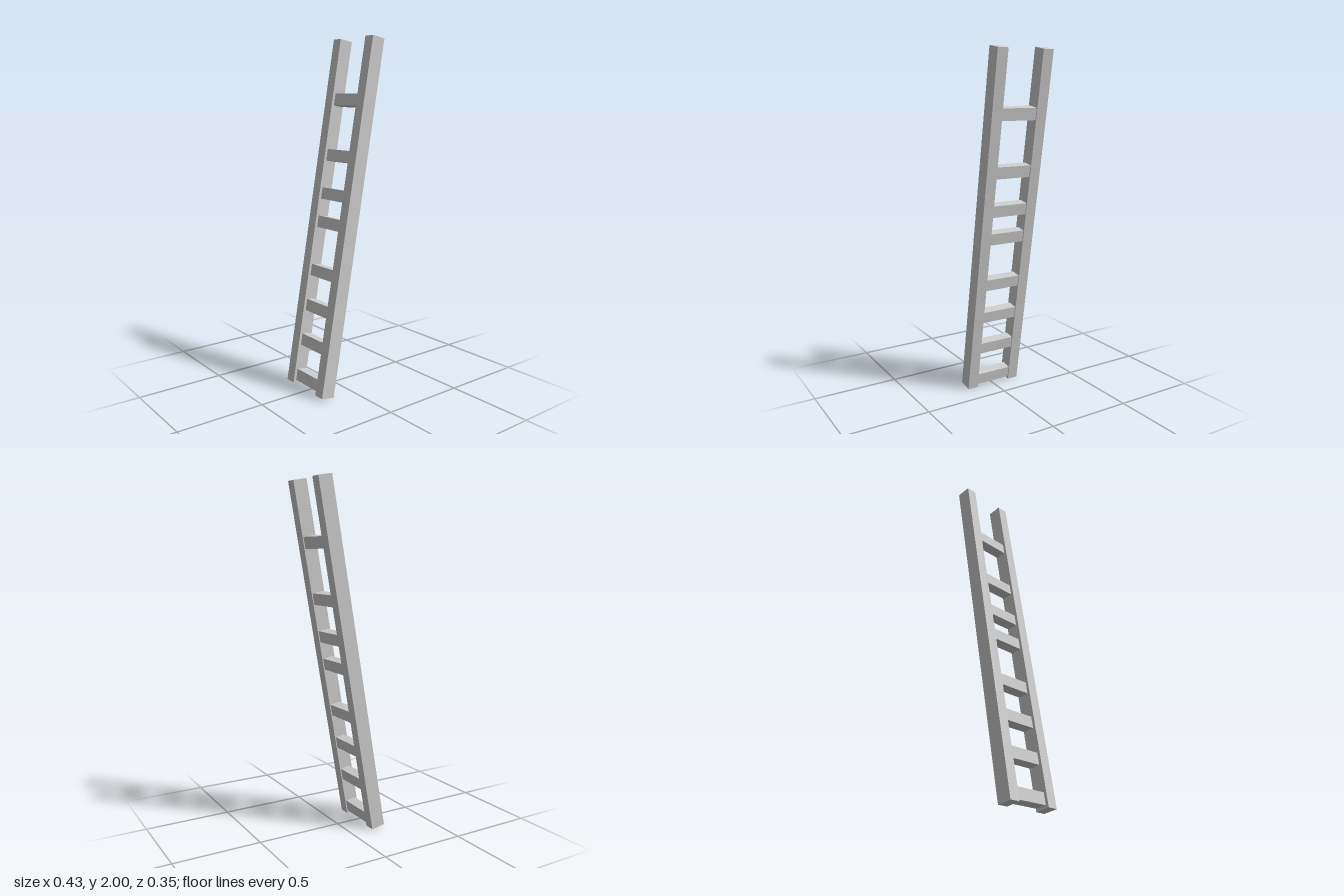
import * as THREE from 'three';

const LEAN = THREE.MathUtils.degToRad(10);

export function createModel() {
  const model = new THREE.Group();
  model.name = 'leaningLadder';
  const material = new THREE.MeshStandardMaterial({ color: 0xcccccc, flatShading: true });

  // Everything is built upright, then the whole ladder leans toward +x
  const ladder = new THREE.Group();
  ladder.name = 'ladder';
  ladder.position.y = 1;
  ladder.rotation.z = -LEAN;
  model.add(ladder);

  const addBeam = (name, w, h, d, x, y, z) => {
    const beam = new THREE.Mesh(new THREE.BoxGeometry(w, h, d), material);
    beam.name = name;
    beam.position.set(x, y, z);
    ladder.add(beam);
  };

  // Two square-cut side rails
  addBeam('frontRail', 0.083, 2.016, 0.064, 0, 0, 0.14);
  addBeam('backRail', 0.083, 2.016, 0.064, 0, 0, -0.141);

  // Unevenly spaced rungs, given by their height above the ground
  const rungHeights = [0.056, 0.266, 0.47, 0.676, 0.957, 1.12, 1.339, 1.654];
  rungHeights.forEach((height, i) => {
    const along = (height - 1) / Math.cos(LEAN);
    addBeam(`rung${i + 1}`, 0.061, 0.067, 0.24, 0.005, along, 0);
  });

  return model;
}
